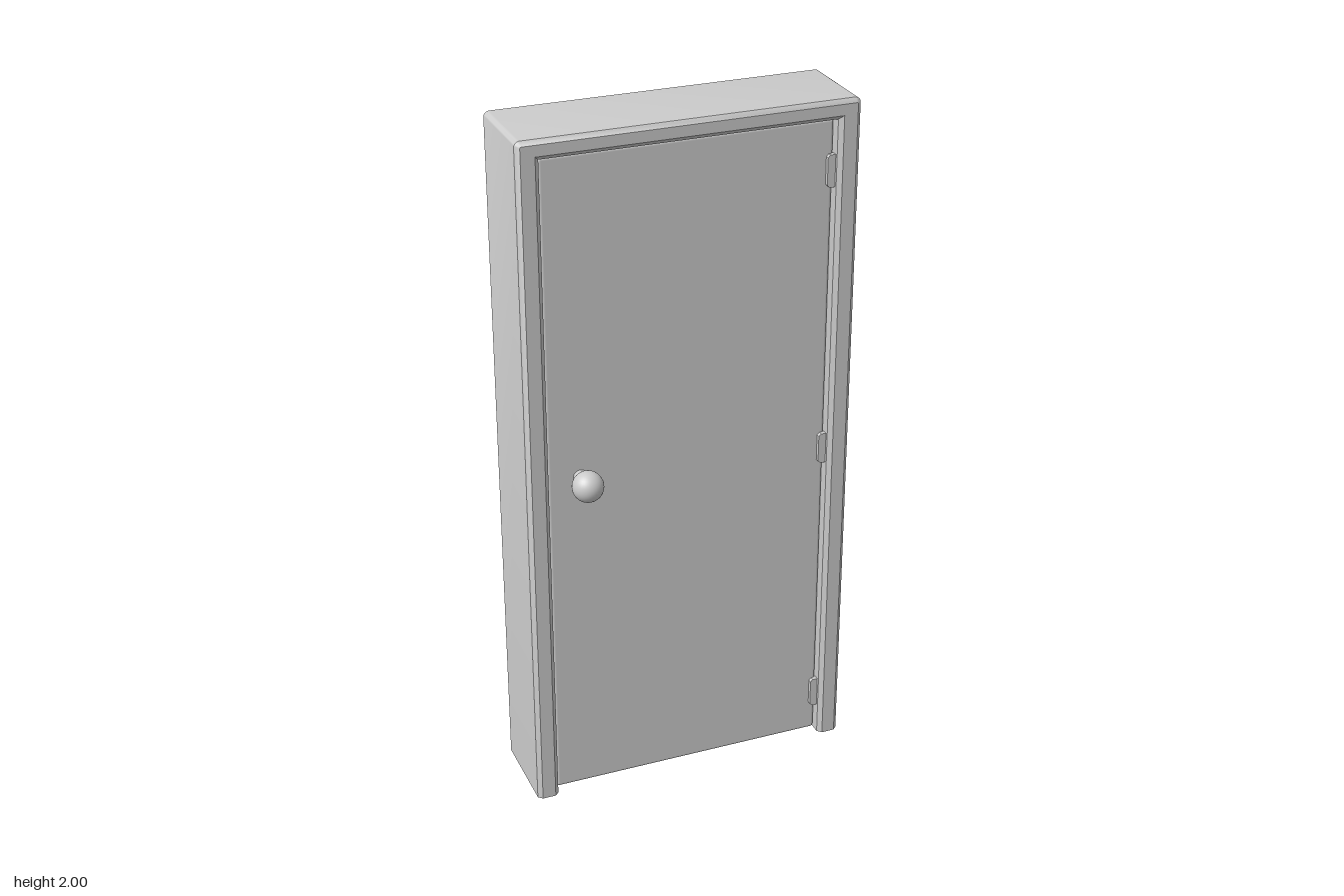
import * as THREE from 'three';
import { toCreasedNormals } from 'three/addons/utils/BufferGeometryUtils.js';
import { RoundedBoxGeometry } from 'three/addons/geometries/RoundedBoxGeometry.js';

const material = new THREE.MeshStandardMaterial({ color: 0xcccccc });

function addMesh(parent, name, geometry, x = 0, y = 0, z = 0) {
  const mesh = new THREE.Mesh(geometry, material);
  mesh.name = name;
  mesh.position.set(x, y, z);
  parent.add(mesh);
  return mesh;
}

// U-shaped door casing with chamfered long edges and flat feet
function frameGeometry() {
  const bevel = 0.012, halfW = 0.478, height = 2, innerW = 0.415, innerH = 1.945;
  const back = -0.176, front = 0.1, r = 0.004;
  const ox = halfW - bevel, oy = height - bevel;
  const ix = innerW + bevel, iy = innerH + bevel;

  const shape = new THREE.Shape();
  shape.moveTo(ox, 0);
  shape.lineTo(ox, oy - r);
  shape.absarc(ox - r, oy - r, r, 0, Math.PI / 2, false);
  shape.absarc(-ox + r, oy - r, r, Math.PI / 2, Math.PI, false);
  shape.lineTo(-ox, 0);
  shape.lineTo(-ix, 0);
  shape.lineTo(-ix, iy);
  shape.lineTo(ix, iy);
  shape.lineTo(ix, 0);
  shape.closePath();

  const geo = new THREE.ExtrudeGeometry(shape, {
    depth: front - back - 2 * bevel,
    bevelEnabled: true, bevelSize: bevel, bevelThickness: bevel,
    bevelSegments: 1, curveSegments: 3,
  });
  geo.translate(0, 0, back + bevel);

  // Press the bevelled feet flat onto the floor
  const p = geo.attributes.position;
  for (let i = 0; i < p.count; i++) p.setY(i, Math.max(0, p.getY(i)));
  return toCreasedNormals(geo, 0.7);
}

// Hinge leaf with clipped corners on its free side
function hingeGeometry(w, h, d) {
  const c = 0.007;
  const s = new THREE.Shape();
  s.moveTo(w, 0);
  s.lineTo(w, h);
  s.lineTo(c, h);
  s.lineTo(0, h - c);
  s.lineTo(0, c);
  s.lineTo(c, 0);
  s.closePath();
  return new THREE.ExtrudeGeometry(s, { depth: d, bevelEnabled: false });
}

export function createModel() {
  const model = new THREE.Group();
  model.name = 'door';

  addMesh(model, 'frame', frameGeometry());

  // Door leaf, set back from the casing front
  const doorFront = 0.07, doorBack = -0.012;
  addMesh(model, 'doorLeaf',
    new RoundedBoxGeometry(0.825, 1.937, doorFront - doorBack, 2, 0.01),
    0, 0.9745, (doorFront + doorBack) / 2);

  // Hinges down the left edge
  const hinge = hingeGeometry(0.022, 0.092, 0.016);
  for (const y of [0.095, 0.924, 1.754]) {
    addMesh(model, 'hinge', hinge, 0.392, y, doorFront - 0.004);
  }

  // Round knob on a short stem
  const knob = new THREE.Group();
  knob.name = 'knob';
  knob.position.set(-0.318, 1.018, 0);
  model.add(knob);
  addMesh(knob, 'knobBall', new THREE.SphereGeometry(0.044, 32, 20), 0, 0, 0.132);
  const stem = new THREE.CylinderGeometry(0.02, 0.02, 0.06, 24);
  stem.rotateX(Math.PI / 2);
  addMesh(knob, 'knobStem', stem, 0, 0, 0.09);

  return model;
}
